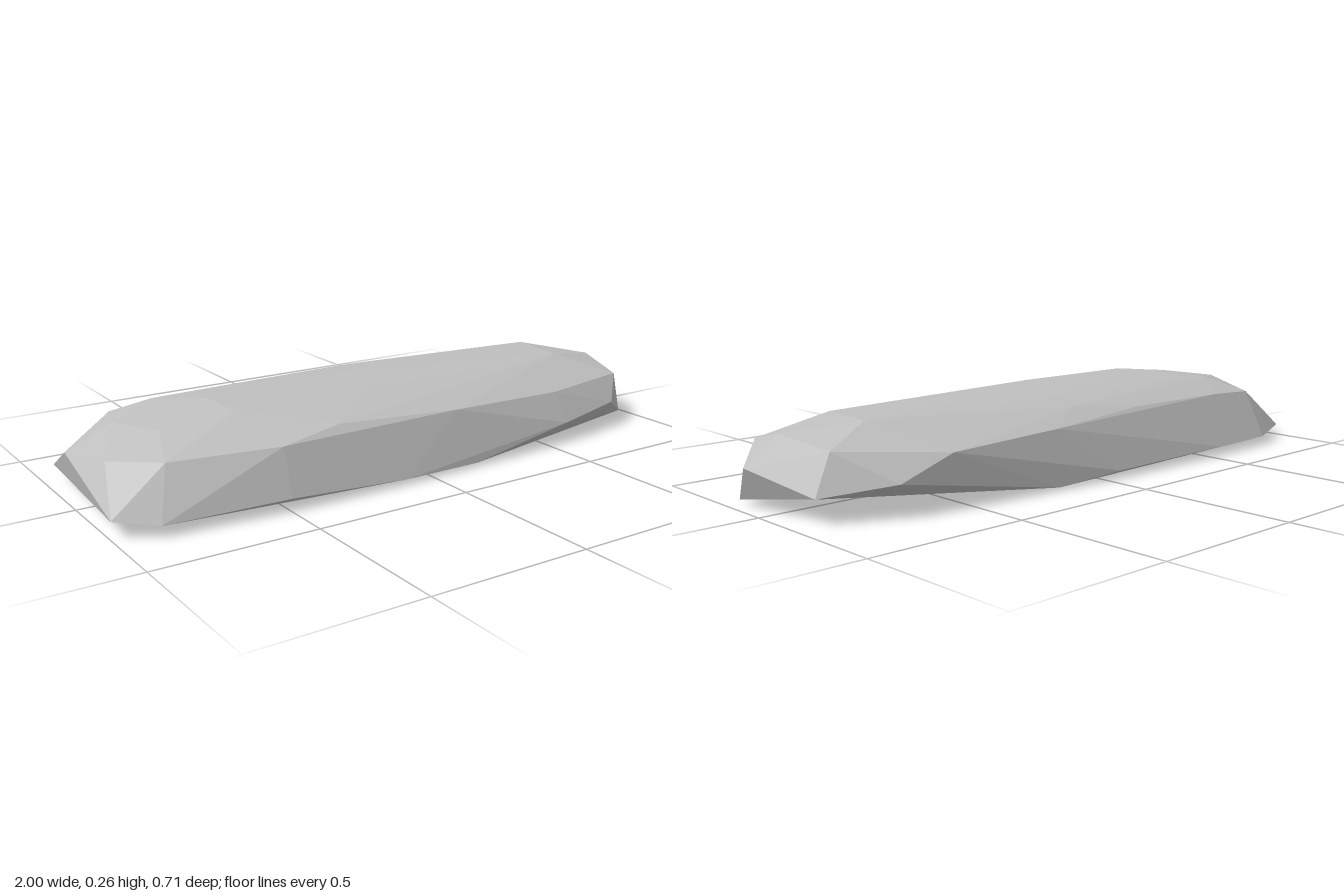
import * as THREE from 'three';
import { ConvexGeometry } from 'three/addons/geometries/ConvexGeometry.js';

// Corner points [x, y, z] of each region of the faceted stone
const underside = [
  [0.96, 0.013, 0.17], [0.17, 0.013, 0.34], [-0.1, 0.018, 0.353], [-0.5, 0.04, 0.353],
  [-0.88, 0.035, 0.325], [-1, 0.055, 0.27], [-0.96, 0.045, -0.29], [-0.8, 0.03, -0.345],
  [-0.55, 0.03, -0.355], [-0.05, 0.025, -0.353], [0.2, 0.01, -0.337], [0.25, 0, 0],
];
const shoulders = [
  [-0.83, 0.18, 0.25], [-0.5, 0.182, 0.31], [0.12, 0.185, 0.3], [0.55, 0.168, 0.272],
  [-0.3, 0.207, 0.284], [0.57, 0.07, 0.315], [0.82, 0.09, 0.268],
  [-0.78, 0.185, -0.28], [-0.6, 0.195, -0.285], [0.18, 0.18, -0.312], [0.57, 0.165, -0.305],
  [-0.2, 0.2, -0.288], [0.74, 0.1, -0.29],
];
const crown = [
  [-0.85, 0.215, -0.07], [-0.78, 0.222, 0.1], [-0.55, 0.248, 0.12], [-0.57, 0.255, -0.02],
  [0, 0.257, 0], [-0.2, 0.256, -0.07], [-0.1, 0.25, 0.125], [0.7, 0.243, 0.1],
  [0.72, 0.244, -0.1], [0.1, 0.246, -0.16], [-0.55, 0.243, -0.16], [-0.68, 0.235, -0.18],
  [0.05, 0.223, -0.245],
];
const ends = [
  [1, 0.125, 0.07], [0.94, 0.075, -0.187], [0.88, 0.19, -0.17], [0.9, 0.21, 0.05],
  [0.88, 0.172, 0.213], [-1, 0.155, -0.06], [-0.95, 0.17, 0.12],
];

export function createModel() {
  const group = new THREE.Group();
  group.name = 'flatStone';

  const stoneGrey = new THREE.MeshStandardMaterial({ color: 0xbfbfbf });
  stoneGrey.name = 'stoneGrey';
  stoneGrey.flatShading = true;

  // The chipped slab is the convex shell around all of its corners
  const corners = [...underside, ...shoulders, ...crown, ...ends]
    .map((p) => new THREE.Vector3(...p));
  const stone = new THREE.Mesh(new ConvexGeometry(corners), stoneGrey);
  stone.name = 'stone';
  group.add(stone);
  return group;
}
